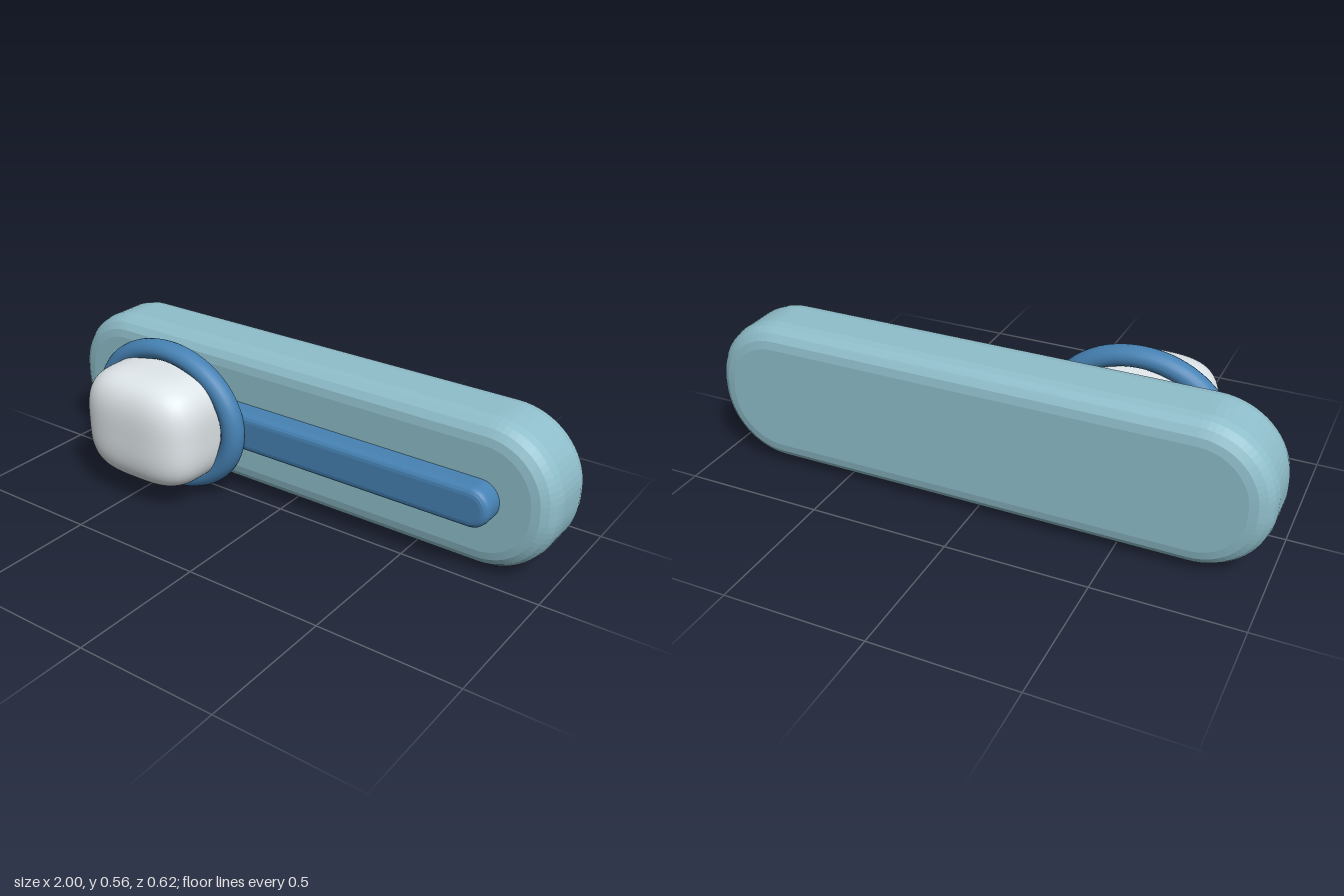
import * as THREE from 'three';
import { mergeVertices } from 'three/addons/utils/BufferGeometryUtils.js';

const material = (color) => new THREE.MeshStandardMaterial({ color });

// Bar with rounded outline and bevelled rims; sizes include the bevel.
function roundedBar(width, height, zBack, zFront, radius, bevel) {
  const w = width / 2 - bevel, h = height / 2 - bevel, r = radius - bevel;
  const outline = new THREE.Shape();
  outline.absarc(w - r, h - r, r, 0, Math.PI / 2);
  outline.absarc(-w + r, h - r, r, Math.PI / 2, Math.PI);
  outline.absarc(-w + r, -h + r, r, Math.PI, Math.PI * 1.5);
  outline.absarc(w - r, -h + r, r, Math.PI * 1.5, Math.PI * 2);
  outline.closePath();
  return new THREE.ExtrudeGeometry(outline, {
    depth: zFront - zBack - 2 * bevel,
    bevelThickness: bevel, bevelSize: bevel, bevelSegments: 4, curveSegments: 8,
  }).translate(0, 0, zBack + bevel);
}

// Soft cushion-like block: a box pushed onto a superellipsoid.
function softBlock(halfX, halfY, halfZ, power) {
  let geometry = new THREE.BoxGeometry(2, 2, 2, 24, 24, 24);
  geometry.deleteAttribute('normal');
  geometry.deleteAttribute('uv');
  geometry = mergeVertices(geometry);
  const position = geometry.attributes.position;
  const v = new THREE.Vector3();
  for (let i = 0; i < position.count; i++) {
    v.fromBufferAttribute(position, i);
    const sum = v.toArray().reduce((s, c) => s + Math.abs(c) ** power, 0);
    v.multiplyScalar(sum ** (-1 / power));
    position.setXYZ(i, v.x * halfX, v.y * halfY, v.z * halfZ);
  }
  geometry.computeVertexNormals();
  return geometry;
}

export function createModel() {
  const group = new THREE.Group();
  const add = (name, geometry, color, x, y, z) => {
    const mesh = new THREE.Mesh(geometry, material(color));
    mesh.name = name;
    mesh.position.set(x, y, z);
    group.add(mesh);
  };

  // Housing and the raised track along its front
  add('housing', roundedBar(2, 0.528, -0.312, -0.035, 0.25, 0.075), 0x8fbecb, 0, 0.282, 0);
  add('track', roundedBar(1.64, 0.144, -0.1, 0.046, 0.07, 0.027), 0x4682b4, 0, 0.283, 0);

  // Sliding knob with an oval ring around it
  const knobX = -0.448;
  add('knob', softBlock(0.244, 0.206, 0.188, 3.3), 0xdfe6e9, knobX, 0.282, 0.124);
  const ring = new THREE.TorusGeometry(0.87, 0.13, 20, 64);
  ring.scale(0.333, 0.28, 0.0415 / 0.13);
  add('knobRing', ring, 0x4682b4, knobX, 0.282, 0.066);

  return group;
}
